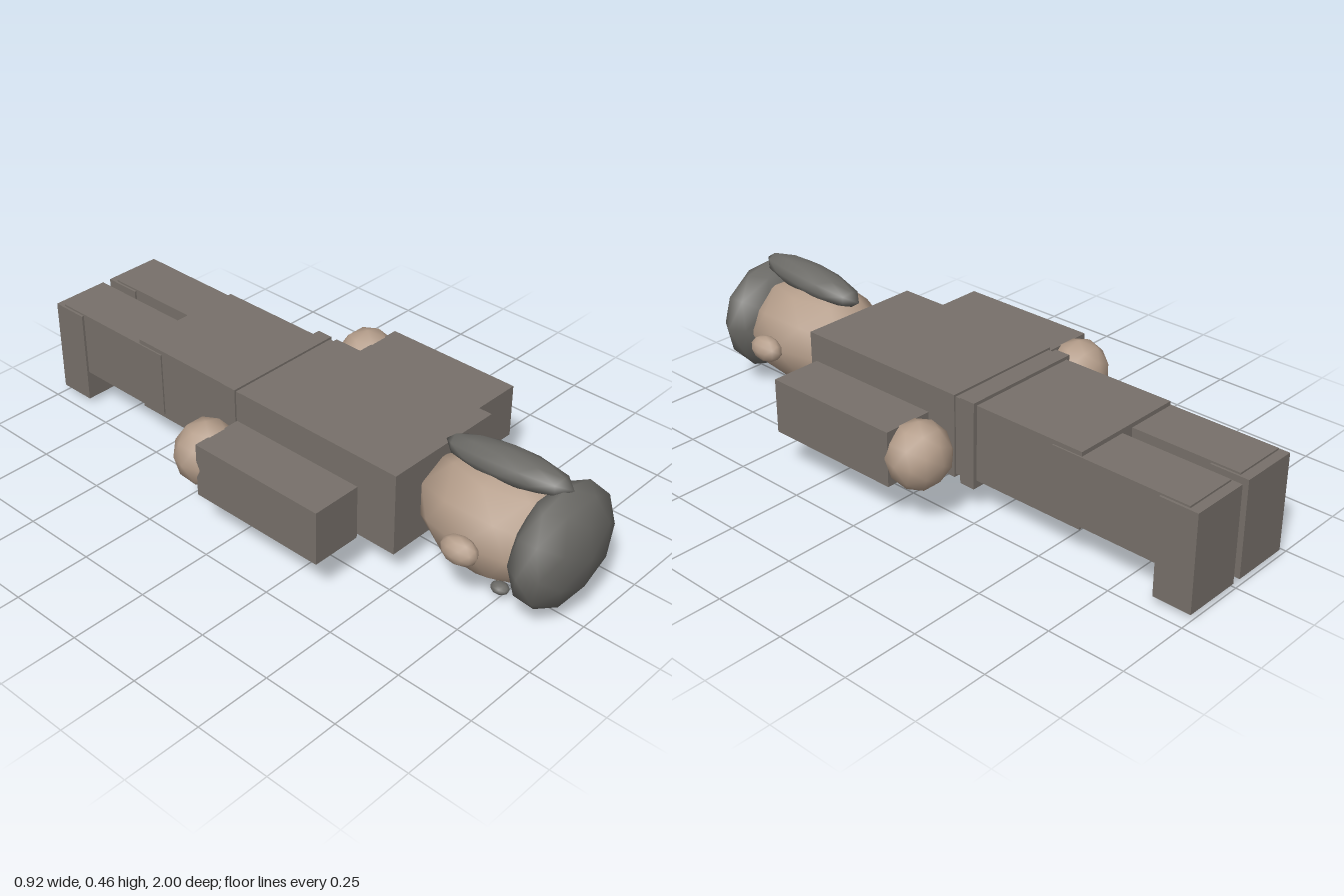
import * as THREE from 'three';

export function createModel() {
  const model = new THREE.Group();
  model.name = 'lyingFigure';

  const mat = (name, color) => {
    const m = new THREE.MeshStandardMaterial({ color });
    m.name = name;
    return m;
  };
  const cloth = mat('cloth', 0x77706a);
  const skin = mat('skin', 0xb49d8a);
  const hair = mat('hair', 0x6b6a66);

  const add = (name, geometry, material, x, y, z) => {
    const mesh = new THREE.Mesh(geometry, material);
    mesh.name = name;
    mesh.position.set(x, y, z);
    model.add(mesh);
    return mesh;
  };
  // Box given by its extents along each axis
  const box = (name, material, [x0, x1], [y0, y1], [z0, z1]) =>
    add(name, new THREE.BoxGeometry(x1 - x0, y1 - y0, z1 - z0), material,
      (x0 + x1) / 2, (y0 + y1) / 2, (z0 + z1) / 2);
  // Faceted ellipsoid given by centre and radii (polyhedra have flat normals)
  const blob = (name, material, [x, y, z], [rx, ry, rz], detail = 1) =>
    add(name, new THREE.IcosahedronGeometry(1, detail).scale(rx, ry, rz), material, x, y, z);

  // Body
  box('torso', cloth, [-0.213, 0.213], [0.098, 0.373], [-0.137, 0.48]);
  box('waist', cloth, [-0.207, 0.207], [0.108, 0.366], [-0.165, -0.13]);
  box('belt', cloth, [-0.213, 0.213], [0.087, 0.373], [-0.214, -0.16]);
  box('hips', cloth, [-0.2, 0.2], [0.112, 0.362], [-0.603, -0.2]);

  // Head, face down, crown towards +z
  blob('head', skin, [0, 0.232, 0.69], [0.19, 0.18, 0.265]);
  blob('hairCap', hair, [0, 0.24, 0.9], [0.208, 0.192, 0.1]);
  blob('hairRidge', hair, [0, 0.415, 0.703], [0.065, 0.05, 0.22]).rotation.x = -0.08;
  blob('nose', skin, [0, 0.025, 0.706], [0.022, 0.023, 0.024]);
  box('mouth', cloth, [-0.036, 0.036], [0.038, 0.048], [0.642, 0.654]);

  // Paired parts
  for (const [side, s] of [['left', 1], ['right', -1]]) {
    const span = (a, b) => (s > 0 ? [a, b] : [-b, -a]);
    box(side + 'Arm', cloth, span(0.271, 0.44), [0.145, 0.324], [-0.09, 0.39]);
    blob(side + 'Hand', skin, [s * 0.357, 0.236, -0.134], [0.103, 0.108, 0.099]);
    box(side + 'Leg', cloth, span(0.022, 0.205), [0.126, 0.348], [-0.968, -0.5]);
    box(side + 'Foot', cloth, span(0.015, 0.213), [0.024, 0.342], [-1, -0.873]);
    blob(side + 'Ear', skin, [s * 0.207, 0.236, 0.708], [0.04, 0.043, 0.062]);
    blob(side + 'Eye', hair, [s * 0.0755, 0.052, 0.76], [0.024, 0.017, 0.03]);
  }
  return model;
}
